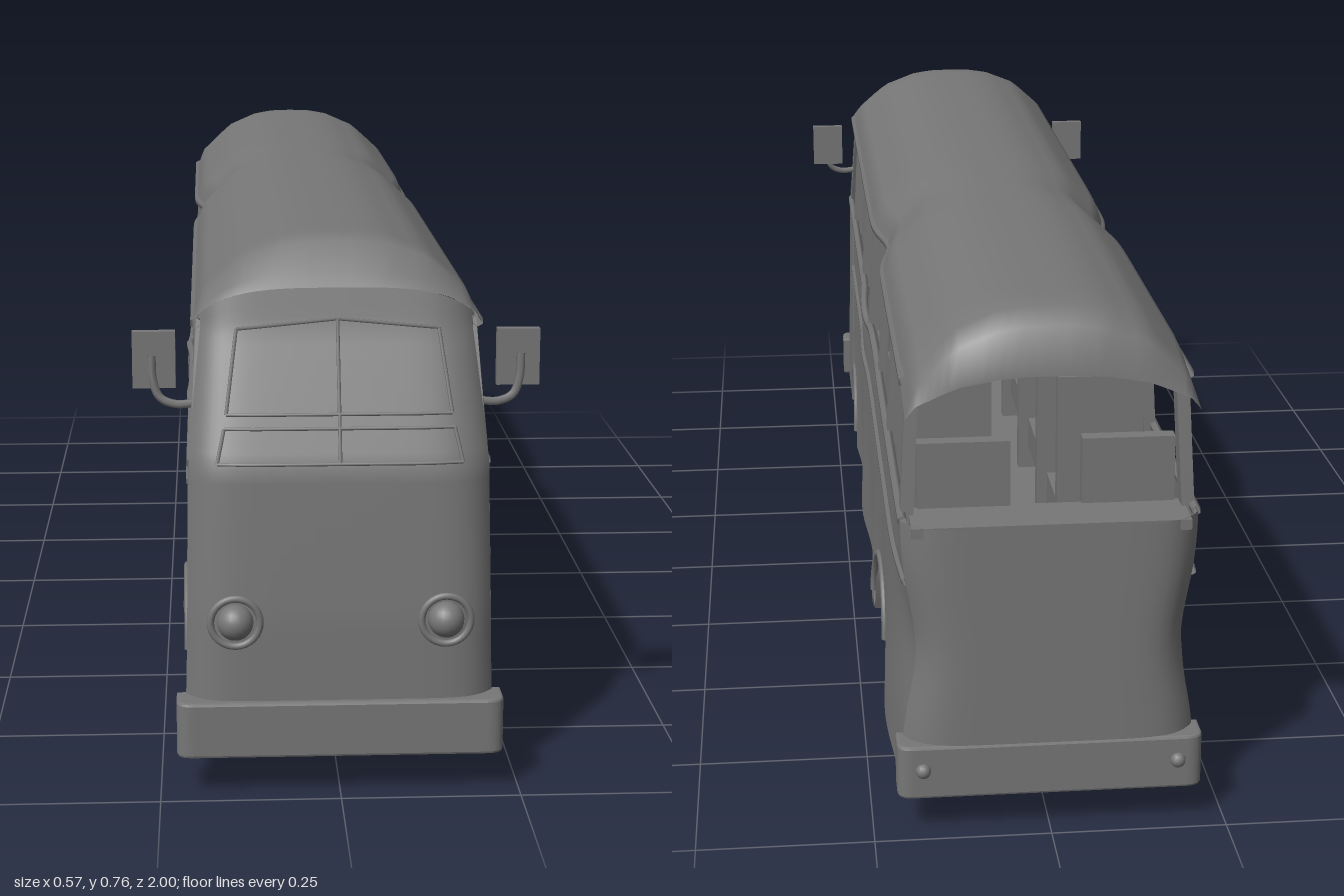
import * as THREE from 'three';

const mat = new THREE.MeshStandardMaterial({ color: 0x777777, side: THREE.DoubleSide });
const V = (x, y, z) => new THREE.Vector3(x, y, z);
const bell = (v, c, w) => Math.exp(-(((v - c) / w) ** 2));
const AXLES = [0.545, -0.44], SILL = 0.46, EAVE = 0.645;

// Piecewise linear lookup through [key, value] pairs
function lerpTable(t, k) {
  const i = t.findIndex(p => p[0] >= k);
  if (i === 0) return t[0][1];
  if (i < 0) return t[t.length - 1][1];
  const [a, va] = t[i - 1], [b, vb] = t[i];
  return va + (vb - va) * (k - a) / (b - a);
}
const widths = [[0.06, 0.216], [0.2, 0.212], [0.46, 0.207], [0.645, 0.196]];
const noses = [[0.06, 0.978], [0.25, 0.975], [0.46, 0.958], [0.64, 0.878], [0.7, 0.862]];
const noseZ = y => lerpTable(noses, y);
// Half-width of the battered body at a height and station
const half = (y, z) => lerpTable(widths, y)
  - 0.02 * bell(z, -0.2, 0.09) * bell(y, 0.66, 0.13)
  + 0.007 * bell(z, 0.1, 0.08) * bell(y, 0.43, 0.07)
  - 0.028 * bell(z, -1, 0.13) * bell(y, 0.27, 0.1)
  + 0.005 * Math.sin(z * 15) * bell(y, 0.08, 0.13) * (z < 0.75 ? 1 : 0);
const sillY = z => SILL - 0.012 * bell(z, 0.03, 0.06) - 0.004 * bell(z, -0.2, 0.05);
// Lower edge of the shell, rising over each axle
const bottom = z => Math.max(0.06, ...AXLES.map(a => 0.094 + Math.sqrt(Math.max(0, 0.097 ** 2 - (z - a) ** 2)) - (Math.abs(z - a) > 0.097 ? 1 : 0)));
// Roof cross-section, and the flatter curve over the windscreen
const roofArch = u => lerpTable([[0, 1], [0.2, 0.99], [0.375, 0.945], [0.65, 0.76], [0.775, 0.57], [0.93, 0.32], [1, 0]], Math.abs(u));
const lipArch = u => Math.max(0, 1 - Math.abs(u) ** 3.5) ** 0.65;

// Grid surface from a rule f(u, v) with u, v in 0..1
function sheet(nu, nv, f) {
  const pos = [], idx = [];
  for (let i = 0; i <= nu; i++) for (let j = 0; j <= nv; j++) pos.push(...f(i / nu, j / nv).toArray());
  for (let i = 0; i < nu; i++) for (let j = 0; j < nv; j++) {
    const a = i * (nv + 1) + j, b = a + nv + 1;
    idx.push(a, b, a + 1, b, b + 1, a + 1);
  }
  const g = new THREE.BufferGeometry();
  g.setAttribute('position', new THREE.Float32BufferAttribute(pos, 3));
  g.setIndex(idx);
  g.computeVertexNormals();
  return g;
}
const pipe = (pts, r, seg = 80) => new THREE.TubeGeometry(new THREE.CatmullRomCurve3(pts), seg, r, 6);

export function createModel() {
  const bus = new THREE.Group();
  const add = (name, geo, x = 0, y = 0, z = 0, parent = bus) => {
    const m = new THREE.Mesh(geo, mat);
    m.name = name;
    m.position.set(x, y, z);
    parent.add(m);
    return m;
  };
  const box = (name, w, h, d, x, y, z) => add(name, new THREE.BoxGeometry(w, h, d), x, y, z);
  // Straight bar between two points
  const beam = (name, a, b, w, d) => {
    const m = add(name, new THREE.BoxGeometry(w, a.distanceTo(b), d), ...a.clone().lerp(b, 0.5).toArray());
    m.quaternion.setFromUnitVectors(V(0, 1, 0), b.clone().sub(a).normalize());
  };

  // Front: nose and windscreen in one rounded sheet
  const nosePoint = (x, y) => V(x, y, noseZ(y) - 0.035 * Math.abs(x / half(y, 0.95)) ** 9);
  add('frontPanel', sheet(40, 32, (u, v) => {
    const s = Math.sin((u - 0.5) * Math.PI);
    let y = 0.06 + v * 0.64;
    if (y > 0.6) y = 0.6 + (y - 0.6) / 0.1 * (EAVE + 0.05 * lipArch(s) - 0.6);
    return nosePoint(s * half(y, 0.95), y);
  }));
  // Thin windscreen frames laid on the sheet
  const frame = (name, pts) => pts.slice(1).forEach(([x, y], i) => {
    const line = Array.from({ length: 9 }, (_, k) => nosePoint(
      THREE.MathUtils.lerp(pts[i][0], x, k / 8), THREE.MathUtils.lerp(pts[i][1], y, k / 8)));
    add(name, pipe(line, 0.0025, 16), 0, 0, 0.001);
  });
  frame('upperWindscreenFrame', [[-0.155, 0.53], [-0.14, 0.64], [0, 0.653], [0.14, 0.64], [0.155, 0.53], [-0.155, 0.53]]);
  frame('lowerWindscreenFrame', [[-0.168, 0.467], [-0.158, 0.512], [0.158, 0.512], [0.168, 0.467], [-0.168, 0.467]]);
  frame('windscreenDivider', [[0, 0.467], [0, 0.653]]);

  // Rear panel, underside with axle tunnels, cabin floor
  add('rearPanel', sheet(24, 16, (u, v) => {
    const s = Math.sin((u - 0.5) * Math.PI), y = 0.06 + v * 0.4;
    return V(s * half(y, -0.945), y, -0.985 + 0.04 * Math.abs(s) ** 9);
  }));
  add('underside', sheet(200, 1, (u, v) => {
    const z = -0.97 + u * 1.93;
    return V((v * 2 - 1) * half(bottom(z), z) * 0.99, bottom(z), z);
  }));
  box('cabinFloor', 0.37, 0.01, 1.84, 0, 0.205, 0);
  box('rearShelf', 0.385, 0.015, 0.08, 0, 0.452, -0.935);
  box('dashboard', 0.38, 0.05, 0.1, 0, 0.425, 0.885);

  // Roof
  const roofTop = [[-0.985, 0.675], [-0.975, 0.742], [-0.93, 0.758], [-0.88, 0.76], [0.79, 0.76], [0.815, 0.752], [0.855, 0.712], [0.868, 0.695]];
  const stations = [-0.985, -0.975, -0.93, ...Array.from({ length: 41 }, (_, i) => -0.88 + i * 1.67 / 40), 0.815, 0.855, 0.868];
  add('roof', sheet(stations.length - 1, 32, (u, v) => {
    const z = stations[Math.round(u * (stations.length - 1))], s = Math.sin((v - 0.5) * Math.PI);
    const eave = EAVE - 0.025 * THREE.MathUtils.smoothstep(-z, 0.84, 0.98);
    const bend = THREE.MathUtils.lerp(roofArch(s), lipArch(s), THREE.MathUtils.smoothstep(z, 0.8, 0.868));
    return V(s * (half(EAVE, z) + 0.004), eave + (lerpTable(roofTop, z) - eave) * bend, z);
  }));

  // Bumpers wrapping round the corners
  for (const [name, end, w] of [['frontBumper', 1, 0.223], ['rearBumper', -1, 0.212]]) {
    const s = new THREE.Shape().moveTo(-w, 0).lineTo(-w, 0.03).quadraticCurveTo(-w, 0.045, -w + 0.02, 0.045)
      .lineTo(w - 0.02, 0.045).quadraticCurveTo(w, 0.045, w, 0.03).lineTo(w, 0);
    const g = new THREE.ExtrudeGeometry(s, { depth: 0.072, bevelSize: 0.004, bevelThickness: 0.004, bevelSegments: 2 });
    g.rotateX(-Math.PI / 2).translate(0, 0.06, 0);
    if (end > 0) g.rotateY(Math.PI);
    add(name, g, 0, 0, end * 0.938);
  }

  const wheelProfile = [[0.016, 0.012], [0.03, 0.012], [0.034, 0.002], [0.05, -0.004], [0.055, 0.008], [0.078, 0.008],
    [0.087, 0], [0.09, -0.012], [0.09, -0.052], [0.082, -0.062], [0.055, -0.062], [0.05, -0.04], [0.016, -0.04], [0.016, 0.012]];
  for (const s of [1, -1]) {
    const side = s > 0 ? 'left' : 'right';
    const onSide = (y, z, off = 0) => V(s * (half(y, z) + off), y, z);
    const rail = (name, yAt, a, b, r, off = 0) => add(side + name, pipe(Array.from({ length: 41 }, (_, i) => {
      const z = a + (b - a) * i / 40;
      return onSide(yAt(z), z, off);
    }), r));
    // Side skin with wheel openings
    add(side + 'SidePanel', sheet(220, 16, (u, v) => {
      const z = -0.945 + u * 1.885, y = THREE.MathUtils.lerp(bottom(z), sillY(z), v);
      return V(s * half(y, z), y, Math.min(z, noseZ(y) - 0.034));
    }));
    // Rails, trim and door seam
    rail('SillRail', sillY, -0.945, 0.915, 0.007, -0.003);
    rail('TrimStrip', z => 0.37 - 0.004 * bell(z, 0.03, 0.06), -0.945, 0.68, 0.006);
    rail('Gutter', () => EAVE, -0.9, 0.86, 0.008);
    add(side + 'WindowHeader', sheet(40, 1, (u, v) => onSide(0.625 + v * 0.03, -0.92 + u * 1.77, -0.004)));
    add(side + 'DoorSeam', pipe([0.45, 0.35, 0.25, 0.13].map(y => onSide(y, 0.7)).concat(onSide(0.08, 0.655)), 0.003, 30));

    // Window pillars
    const post = (name, zLow, zHigh, d) => beam(side + name, onSide(SILL - 0.015, zLow, -0.01), onSide(EAVE, zHigh, -0.01), 0.018, d);
    for (const z of [0.715, 0.3, 0.005, -0.29, -0.58]) post('Pillar', z, z, 0.028);
    post('RearPillar', -0.91, -0.895, 0.03);
    post('FrontPillar', 0.91, 0.835, 0.03);

    // Broken pane and boarded window with a hole
    const pane = (name, shape) => {
      const g = new THREE.ExtrudeGeometry(shape, { depth: 0.006, bevelEnabled: false });
      g.rotateY(-Math.PI / 2);
      const p = g.attributes.position;
      for (let i = 0; i < p.count; i++) p.setX(i, s * (half(p.getY(i), p.getZ(i)) - 0.012 + p.getX(i) * 0.5));
      g.computeVertexNormals();
      add(side + name, g);
    };
    const points = pts => pts.map(p => new THREE.Vector2(...p));
    pane('BrokenPane', new THREE.Shape(points([[0.32, 0.455], [0.325, 0.575], [0.375, 0.575], [0.42, 0.535], [0.47, 0.51], [0.49, 0.515], [0.54, 0.57], [0.6, 0.53], [0.605, 0.455]])));
    const board = new THREE.Shape(points([[-0.465, 0.455], [-0.465, 0.635], [-0.29, 0.635], [-0.29, 0.455]]));
    board.holes.push(new THREE.Path(points([[-0.43, 0.52], [-0.355, 0.515], [-0.365, 0.59], [-0.42, 0.585]])));
    pane('BoardedWindow', board);

    // Seats
    for (const z of [0.45, 0.19, -0.085, -0.36, -0.62, -0.89]) {
      box(side + 'SeatBack', 0.13, 0.35, 0.022, s * 0.115, 0.38, z);
      box(side + 'SeatCushion', 0.13, 0.05, 0.11, s * 0.115, 0.33, z + 0.06);
    }

    // Wheels with open hubs, bolts and arch lips
    for (const z of AXLES) {
      const wheel = new THREE.Group();
      wheel.name = side + (z > 0 ? 'FrontWheel' : 'RearWheel');
      wheel.position.set(s * 0.192, 0.09, z);
      wheel.rotation.z = -s * Math.PI / 2;
      bus.add(wheel);
      add('tyreAndRim', new THREE.LatheGeometry(points(wheelProfile), 32), 0, 0, 0, wheel);
      if (z < 0) add('hubCap', new THREE.CylinderGeometry(0.014, 0.018, 0.03, 16), 0, 0.005, 0, wheel);
      for (let a = 0; a < 6; a += Math.PI / 3) {
        add('bolt', new THREE.CylinderGeometry(0.004, 0.004, 0.008, 6), 0.041 * Math.cos(a), 0.002, 0.041 * Math.sin(a), wheel);
      }
      add(side + 'ArchLip', pipe(Array.from({ length: 17 }, (_, k) => {
        const a = Math.PI * k / 16;
        return onSide(0.094 + 0.099 * Math.sin(a), z + 0.099 * Math.cos(a));
      }), 0.006, 32));
    }

    // Headlight and tail lamp
    add(side + 'HeadlightRing', new THREE.TorusGeometry(0.034, 0.005, 8, 32), s * 0.145, 0.25, 0.977);
    add(side + 'Headlight', new THREE.SphereGeometry(0.025, 20, 14), s * 0.145, 0.25, 0.975);
    add(side + 'TailLamp', new THREE.SphereGeometry(0.011, 12, 8), s * 0.18, 0.1, -0.987);

    // Wing mirror on a bent arm
    box(side + 'Mirror', 0.06, 0.08, 0.014, s * 0.254, 0.593, 0.85);
    add(side + 'MirrorArm', pipe([[0.195, 0.535, 0.87], [0.225, 0.533, 0.868], [0.246, 0.542, 0.865], [0.255, 0.565, 0.863], [0.257, 0.6, 0.861]]
      .map(([x, y, z]) => V(s * x, y, z)), 0.006, 24));
  }
  return bus;
}
